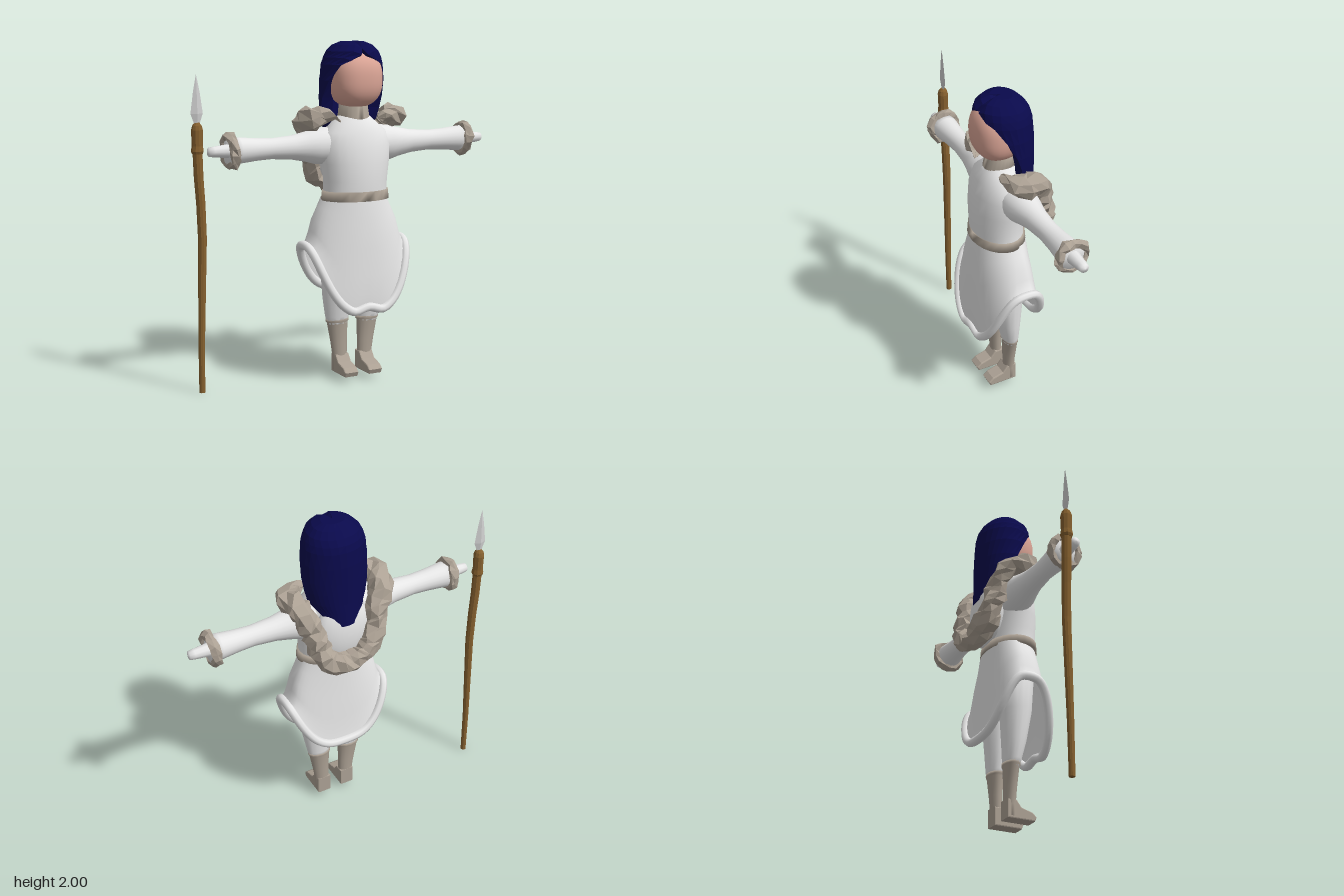
import * as THREE from 'three';

const mat = (name, color, side = THREE.FrontSide) => {
  const m = new THREE.MeshStandardMaterial({ color, side });
  m.name = name;
  return m;
};

// Joins rings of points (listed bottom to top) into a skin, with optional end caps
function loft(rings, caps = true) {
  const n = rings[0].length, pos = rings.flat(2), idx = [];
  for (let i = 0; i < rings.length - 1; i++) {
    for (let j = 0; j < n; j++) {
      const a = i * n + j, b = i * n + (j + 1) % n;
      idx.push(a, b, b + n, a, b + n, a + n);
    }
  }
  if (caps) {
    const top = (rings.length - 1) * n;
    for (let j = 1; j < n - 1; j++) idx.push(0, j + 1, j, top, top + j, top + j + 1);
  }
  const g = new THREE.BufferGeometry();
  g.setAttribute('position', new THREE.Float32BufferAttribute(pos, 3));
  g.setIndex(idx);
  g.computeVertexNormals();
  return g;
}

// Oval cross-section between two depths
function ring(y, rx, zFront, zBack, cx = 0, sides = 24) {
  const zc = (zFront + zBack) / 2, rz = (zFront - zBack) / 2;
  return Array.from({ length: sides }, (_, j) => {
    const a = j / sides * Math.PI * 2;
    return [cx + rx * Math.sin(a), y, zc + rz * Math.cos(a)];
  });
}

function facet(g) {
  const f = g.index ? g.toNonIndexed() : g;
  f.computeVertexNormals();
  return f;
}

const lathe = (pts, sides) => new THREE.LatheGeometry(pts.map(p => new THREE.Vector2(...p)), sides);

// Uneven, tufted surface
function roughen(g, amount) {
  const p = g.attributes.position;
  for (let i = 0; i < p.count; i++) {
    const x = p.getX(i), y = p.getY(i), z = p.getZ(i);
    p.setXYZ(i, x + amount * Math.sin(x * 91 + y * 57 + z * 31),
      y + amount * Math.sin(x * 47 - y * 83 + z * 67), z + amount * Math.sin(x * 39 + y * 71 - z * 97));
  }
  return facet(g);
}

export function createModel() {
  const white = mat('white cloth', 0xe6e6e6, THREE.DoubleSide);
  const fur = mat('grey brown fur', 0xaca194);
  const blue = mat('dark blue hair', 0x0a0a4c, THREE.DoubleSide);
  const skin = mat('skin', 0xdba596);
  const wood = mat('wood', 0x85602f);
  const steel = mat('pale blade', 0xcfcfcf);

  const root = new THREE.Group();
  const body = new THREE.Group();
  body.name = 'figure';
  body.position.x = 0.027;
  root.add(body);
  const add = (name, g, m, parent = body) => {
    const mesh = new THREE.Mesh(g, m);
    mesh.name = name;
    parent.add(mesh);
    return mesh;
  };

  // Torso, belt and collar
  add('torso', loft([
    [1.05, 0.2, 0.185, -0.1], [1.13, 0.198, 0.192, -0.1], [1.2, 0.198, 0.195, -0.1], [1.3, 0.212, 0.195, -0.1],
    [1.4, 0.222, 0.182, -0.1], [1.48, 0.2, 0.16, -0.095], [1.54, 0.13, 0.13, -0.08], [1.58, 0.085, 0.1, -0.05],
  ].map(r => ring(...r))), white);
  add('belt', loft([[1.085, 0.212, 0.203, -0.112], [1.14, 0.205, 0.199, -0.108]].map(r => ring(...r))), fur);
  add('collar', loft([[1.53, 0.098, 0.125, -0.07], [1.64, 0.085, 0.1, -0.06]].map(r => ring(...r))), fur);

  // Skirt: hem is high at the sides, low at front and back
  const sides = 40;
  const skirtRing = (t, rx, zf, zb, n) => Array.from({ length: sides }, (_, j) => {
    const a = j / sides * Math.PI * 2, s = Math.sin(a), c = Math.cos(a);
    const pow = v => Math.sign(v) * Math.abs(v) ** (2 / n);
    const hemY = 0.825 - (c > 0 ? 0.39 : 0.3) * c * c + (j === 0 ? 0.03 : 0);
    return [rx * pow(s), THREE.MathUtils.lerp(1.1, hemY, t), 0.01 + (c > 0 ? zf : zb) * pow(c)];
  });
  const hem = skirtRing(1, 0.318, 0.208, 0.155, 3);
  add('skirt', loft([hem,
    skirtRing(0.88, 0.295, 0.214, 0.145, 2.7), skirtRing(0.7, 0.279, 0.212, 0.14, 2.5),
    skirtRing(0.45, 0.262, 0.208, 0.13, 2.3), skirtRing(0.2, 0.228, 0.2, 0.12, 2.1),
    skirtRing(0, 0.2, 0.185, 0.115, 2)], false), white);
  const hemCurve = new THREE.CatmullRomCurve3(hem.map(p => new THREE.Vector3(...p)), true);
  add('skirtHem', new THREE.TubeGeometry(hemCurve, 96, 0.026, 8, true), white);

  // Arms, cuffs and hands; legs, boots and feet
  const sole = new THREE.Shape([[-0.018, 0.042], [0.145, 0.042], [0.153, 0.06], [0.13, 0.08], [0.06, 0.1],
    [0.03, 0.14], [-0.018, 0.14]].map(p => new THREE.Vector2(...p)));
  for (const s of [1, -1]) {
    const side = s > 0 ? 'left' : 'right';
    const arm = new THREE.Group();
    arm.name = side + 'Arm';
    arm.position.y = 1.4;
    arm.rotation.z = -s * Math.PI / 2;
    body.add(arm);
    add('sleeve', lathe([[0.11, 0.15], [0.105, 0.24], [0.088, 0.3], [0.07, 0.39], [0.06, 0.52], [0.065, 0.62],
      [0.075, 0.72], [0.08, 0.785], [0, 0.785]], 20), white, arm);
    add('hand', lathe([[0.042, 0.77], [0.036, 0.82], [0.031, 0.87], [0.026, 0.9], [0, 0.908]], 10), white, arm);
    const cuff = new THREE.TorusGeometry(0.084, 0.024, 6, 14);
    cuff.rotateX(Math.PI / 2);
    cuff.scale(1, 1.25, 1);
    cuff.rotateZ(-s * 0.1);
    cuff.translate(0, 0.768, 0);
    add('furCuff', roughen(cuff, 0.007), fur, arm);

    add(side + 'TrouserLeg', loft([
      [0.33, 0.062, 0.05, -0.03, s * 0.1], [0.38, 0.075, 0.062, -0.038, s * 0.104],
      [0.5, 0.092, 0.092, -0.045, s * 0.108], [0.68, 0.102, 0.125, -0.06, s * 0.113],
      [0.9, 0.11, 0.14, -0.08, s * 0.115],
    ].map(r => ring(...r, 16))), white);
    add(side + 'Boot', loft([
      [0.05, 0.045, 0.04, -0.025, s * 0.083], [0.12, 0.045, 0.04, -0.024, s * 0.083],
      [0.22, 0.053, 0.044, -0.028, s * 0.09], [0.34, 0.066, 0.052, -0.035, s * 0.1],
      [0.35, 0.074, 0.058, -0.04, s * 0.1], [0.365, 0.073, 0.058, -0.04, s * 0.1],
    ].map(r => ring(...r, 14))), fur);
    const foot = new THREE.ExtrudeGeometry(sole, { depth: 0.076, bevelSize: 0.007, bevelThickness: 0.007, bevelSegments: 2 });
    foot.rotateY(-Math.PI / 2);
    foot.translate(0.038 + s * 0.08, 0, 0);
    add(side + 'Foot', foot, fur);
  }

  // Fur mantle: over both shoulders and down to the hood at the back
  const half = [[0.12, 1.555, 0.1], [0.2, 1.575, 0.075], [0.28, 1.56, 0.015], [0.26, 1.54, -0.08],
    [0.2, 1.38, -0.135], [0.14, 1.21, -0.175]];
  const path = new THREE.CatmullRomCurve3([...half, [0, 1.155, -0.185],
    ...half.map(([x, y, z]) => [-x, y, z]).reverse()].map(p => new THREE.Vector3(...p)));
  const segs = 40, radial = 8;
  const mantle = new THREE.TubeGeometry(path, segs, 0.068, radial);
  const mp = mantle.attributes.position, v = new THREE.Vector3();
  for (let i = 0; i <= segs; i++) {
    const c = path.getPointAt(i / segs);
    const k = Math.min(1, 0.05 + Math.min(i, segs - i) / 4);
    for (let j = 0; j <= radial; j++) {
      const q = i * (radial + 1) + j;
      v.fromBufferAttribute(mp, q).sub(c).multiplyScalar(k).add(c);
      mp.setXYZ(q, v.x, v.y, v.z);
    }
  }
  add('furMantle', roughen(mantle, 0.012), fur);
  const lining = add('hoodLining', new THREE.SphereGeometry(1, 20, 14), white);
  lining.scale.set(0.17, 0.21, 0.08);
  lining.position.set(0, 1.33, -0.1);

  // Head: a slightly boxy ball
  const head = new THREE.SphereGeometry(1, 32, 24), hp = head.attributes.position;
  for (let i = 0; i < hp.count; i++) {
    v.fromBufferAttribute(hp, i);
    const k = 1 / (Math.abs(v.x) ** 2.5 + Math.abs(v.y) ** 2.5 + Math.abs(v.z) ** 2.5) ** 0.4;
    hp.setXYZ(i, v.x * k * 0.155, 1.785 + v.y * k * 0.165, 0.04 + v.z * k * 0.147);
  }
  head.computeVertexNormals();
  add('head', head, skin);

  // Hair: thick C-shaped sections, open around the face by the angle in the last column
  const hairRows = [
    [1.4, 0.14, 0.1, -0.18, 2.45], [1.47, 0.165, 0.1, -0.175, 2.2], [1.54, 0.185, 0.1, -0.17, 1.75],
    [1.61, 0.195, 0.11, -0.167, 1.65], [1.68, 0.198, 0.13, -0.165, 1.48], [1.78, 0.196, 0.155, -0.162, 1.15],
    [1.87, 0.185, 0.17, -0.155, 0.78], [1.91, 0.172, 0.172, -0.145, 0.5], [1.945, 0.155, 0.162, -0.125, 0.12],
    [1.98, 0.12, 0.125, -0.09, 0], [2, 0.07, 0.075, -0.045, 0], [2, 0.002, 0.015, 0.01, 0],
  ];
  const strands = 20;
  const hairRing = ([y, rx, zf, zb, open]) => {
    const at = (j, k) => {
      const a = open + (Math.PI * 2 - 2 * open) * j / strands, c = Math.cos(a);
      const part = (j === 0 || j === strands) && y > 1.9 ? 0.015 : 0;
      return [rx * k * Math.sin(a), y - part - (k < 1 && y > 1.9 ? 0.02 : 0), (c > 0 ? zf : -zb) * k * c];
    };
    const outer = [], inner = [];
    for (let j = 0; j <= strands; j++) {
      outer.push(at(j, 1));
      inner.unshift(at(j, y < 1.7 ? 0.62 : 0.8));
    }
    return [...outer, ...inner];
  };
  const hairRings = hairRows.map(hairRing);
  add('hair', facet(loft(hairRings, false)), blue);
  // Closed lower ends of the hair
  const tips = hairRings[0].map(([x, y, z]) => [x * 0.98, y - 0.005, z * 0.9 - 0.012]);
  add('hairTips', facet(loft([tips, hairRings[0]])), blue);

  // Spear with a gently bent shaft
  const spear = new THREE.Group();
  spear.name = 'spear';
  spear.position.z = -0.08;
  root.add(spear);
  const pole = (rows) => facet(loft(rows.map(([y, x, r]) => ring(y, r, r, -r, x, 10))));
  add('shaft', pole([[0, -0.905, 0.017], [0.3, -0.903, 0.019], [0.6, -0.895, 0.022], [0.9, -0.887, 0.025],
    [1.1, -0.893, 0.026], [1.25, -0.903, 0.027], [1.42, -0.908, 0.028]]), wood, spear);
  add('shaftBinding', pole([[1.385, -0.908, 0.03], [1.4, -0.908, 0.036], [1.43, -0.908, 0.031],
    [1.52, -0.908, 0.033], [1.545, -0.908, 0.026], [1.56, -0.908, 0.014]]), wood, spear);
  const blade = lathe([[0.012, 1.54], [0.022, 1.57], [0.037, 1.61], [0.02, 1.73], [0, 1.83]], 4);
  blade.scale(1, 1, 0.35);
  blade.rotateY(0);
  add('blade', facet(blade), steel, spear).position.x = -0.908;

  return root;
}
